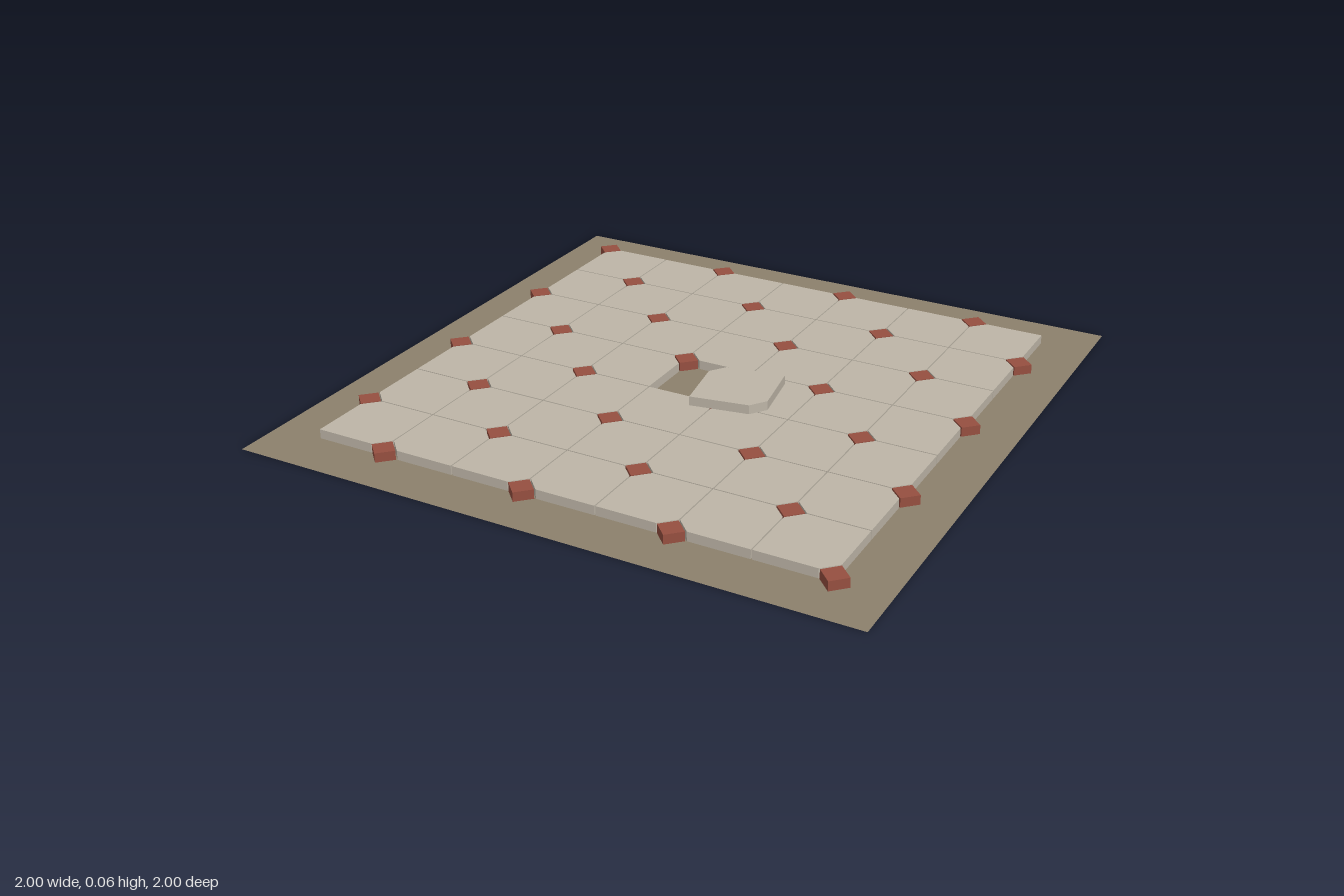
import * as THREE from 'three';

const COUNT = 7, PITCH = 0.24, BASE = 0.002, TOP = 0.032;

// Flat slab extruded upward from an outline of [x, z] points
function slab(points, height) {
  const shape = new THREE.Shape(points.map(([x, z]) => new THREE.Vector2(x, -z)));
  const geo = new THREE.ExtrudeGeometry(shape, { depth: height, bevelEnabled: false });
  return geo.rotateX(-Math.PI / 2);
}

export function createModel() {
  const group = new THREE.Group();
  const bedding = new THREE.MeshStandardMaterial({ color: 0x8c806c, side: THREE.DoubleSide });
  bedding.name = 'bedding';
  const stone = new THREE.MeshStandardMaterial({ color: 0xbdb5a7 });
  stone.name = 'paleStone';
  const terracotta = new THREE.MeshStandardMaterial({ color: 0x964f40 });
  terracotta.name = 'terracotta';

  const add = (name, geo, mat, x, y, z, turn = 0) => {
    const mesh = new THREE.Mesh(geo, mat);
    mesh.name = name;
    mesh.position.set(x, y, z);
    mesh.rotation.y = turn;
    group.add(mesh);
  };

  // Ground sheet
  add('ground', new THREE.PlaneGeometry(2, 2).rotateX(-Math.PI / 2), bedding, 0, 0, 0);

  // Square tile with two opposite corners clipped, and its quarter-turned twin
  const h = 0.118, c = h - 0.045, d = 0.043;
  const tile = slab([[-h, -c], [-h, h], [c, h], [h, c], [h, -h], [-c, -h]], TOP - BASE);
  const twin = tile.clone().rotateY(Math.PI / 2);
  const diamond = slab([[-d, 0], [0, d], [d, 0], [0, -d]], TOP - BASE);

  // Paving, with the centre tile lifted out
  const start = -COUNT * PITCH / 2;
  for (let i = 0; i < COUNT; i++) {
    for (let j = 0; j < COUNT; j++) {
      if (i === 3 && j === 3) continue;
      add('tile', (i + j) % 2 ? twin : tile, stone,
        start + (i + 0.5) * PITCH, BASE, start + (j + 0.5) * PITCH);
    }
  }

  // Diamond insets on alternate grid crossings
  for (let i = 0; i <= COUNT; i++) {
    for (let j = 0; j <= COUNT; j++) {
      if ((i + j) % 2 === 0) add('diamondInset', diamond, terracotta, start + i * PITCH, BASE, start + j * PITCH);
    }
  }

  // Loose tile resting on its neighbours
  add('looseTile', tile, stone, 0.15, TOP + 0.001, 0.042, 0.17);

  return group;
}
